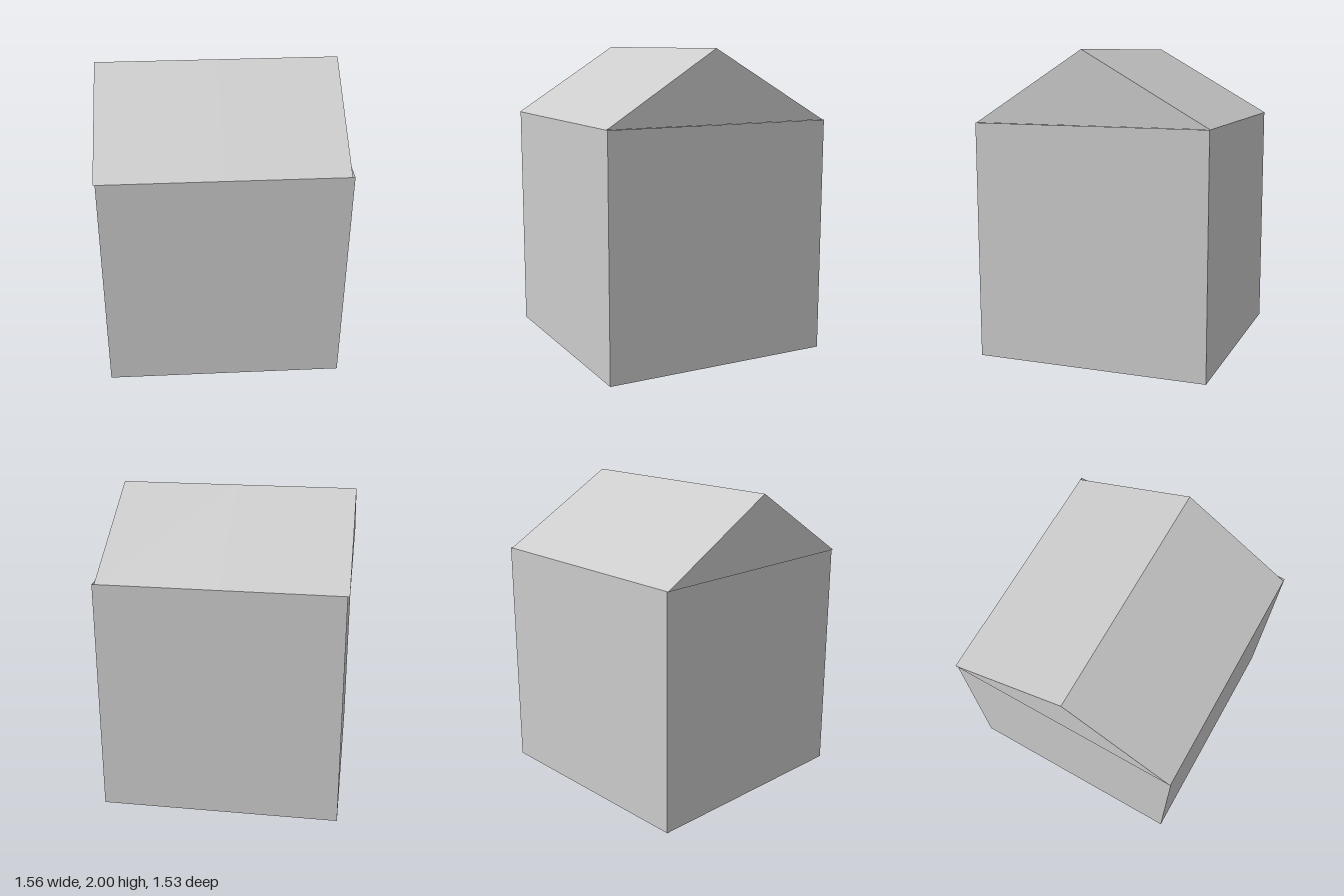
import * as THREE from 'three';

const material = new THREE.MeshStandardMaterial({ color: 0xcccccc, side: THREE.DoubleSide, flatShading: true });

// Main dimensions
const EAVE = 1.54, TOP = 2, RIDGE_Z = 0.04, DEPTH = 0.767;

// Thin flat panel from convex corners, counter-clockwise seen from outside
function panel(name, corners) {
  const geometry = new THREE.BufferGeometry();
  geometry.setAttribute('position', new THREE.Float32BufferAttribute(corners.flat(), 3));
  const index = [];
  for (let i = 1; i < corners.length - 1; i++) index.push(0, i, i + 1);
  geometry.setIndex(index);
  geometry.computeVertexNormals();
  const mesh = new THREE.Mesh(geometry, material);
  mesh.name = name;
  return mesh;
}

export function createModel() {
  const house = new THREE.Group();
  house.name = 'house';

  // Walls, open at the bottom
  const wl = 0.78, wr = -0.765;
  house.add(
    panel('frontWall', [[wr, 0, DEPTH], [wl, 0, DEPTH], [wl, EAVE, DEPTH], [wr, EAVE, DEPTH]]),
    panel('backWall', [[wl, 0, -DEPTH], [wr, 0, -DEPTH], [wr, EAVE, -DEPTH], [wl, EAVE, -DEPTH]]),
    panel('leftWall', [[wl, 0, DEPTH], [wl, 0, -DEPTH], [wl, EAVE, -DEPTH], [wl, EAVE, DEPTH]]),
    panel('rightWall', [[wr, 0, -DEPTH], [wr, 0, DEPTH], [wr, EAVE, DEPTH], [wr, EAVE, -DEPTH]])
  );

  // Gable triangles, shifted slightly against the walls
  const gl = 0.765, gr = -0.777;
  house.add(
    panel('leftGable', [[gl, EAVE, DEPTH], [gl, EAVE, -DEPTH], [gl, TOP, RIDGE_Z]]),
    panel('rightGable', [[gr, EAVE, -DEPTH], [gr, EAVE, DEPTH], [gr, TOP, RIDGE_Z]])
  );

  // Roof slopes, each of two panels meeting at the middle
  for (const [side, x0, x1] of [['Right', gr, 0], ['Left', 0, gl]]) {
    house.add(
      panel('frontRoof' + side, [[x0, EAVE, DEPTH], [x1, EAVE, DEPTH], [x1, TOP, RIDGE_Z], [x0, TOP, RIDGE_Z]]),
      panel('backRoof' + side, [[x1, EAVE, -DEPTH], [x0, EAVE, -DEPTH], [x0, TOP, RIDGE_Z], [x1, TOP, RIDGE_Z]])
    );
  }
  return house;
}
